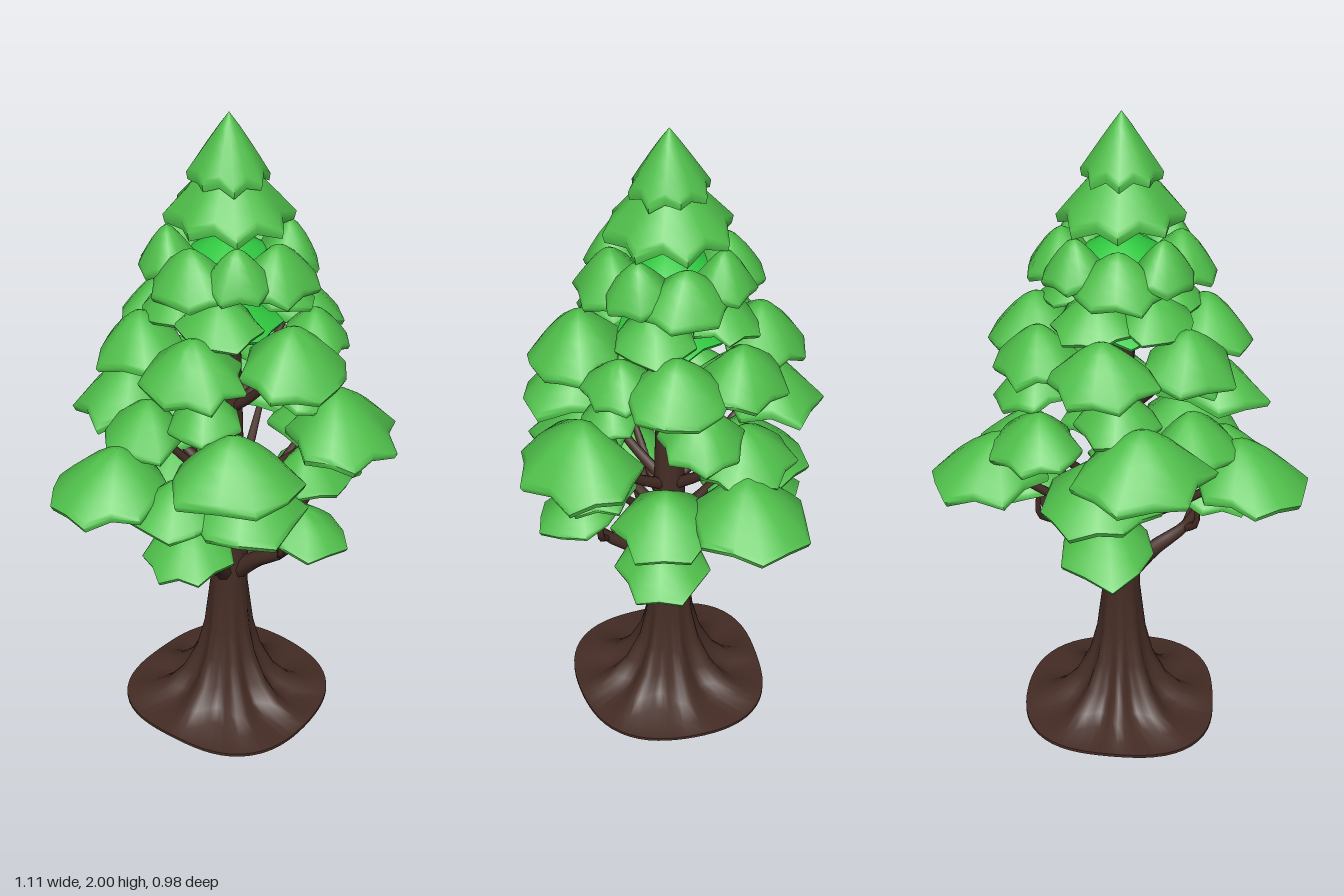
import * as THREE from 'three';
import { toCreasedNormals } from 'three/addons/utils/BufferGeometryUtils.js';

const mat = (name, color) => {
  const m = new THREE.MeshStandardMaterial({ color });
  m.name = name;
  return m;
};

function seeded(seed) {
  let s = (seed * 7919 + 17) % 2147483647;
  return () => (s = (s * 48271) % 2147483647) / 2147483647;
}

// Umbrella-shaped leaf clump: a dome peaking towards the trunk, a thin angular rim and a hollow underside
function clumpGeometry({ rx, rz, h, corners, depth = 0.09, jitter = 0.08, power = 1.4, shift = 0.25, seed }) {
  const rand = seeded(seed), n = corners * 2;
  const outline = [], droop = [];
  for (let j = 0; j < n; j++) {
    outline.push((j % 2 ? 1 - depth : 1 + depth * 0.5) + (rand() - 0.5) * 2 * jitter);
    droop.push((j % 2 ? 0.04 : -0.06) + (rand() - 0.5) * 0.1);
  }
  const rows = [
    ...[0, 0.25, 0.5, 0.75, 0.93, 1].map(t => [t, 0.12 + 0.88 * (1 - t ** power)]),
    [0.97, 0], [0.6, 0.3], [0, 0.45],
  ];
  const pos = [], top = [], under = [];
  rows.forEach(([t, y], r) => {
    for (let j = 0; j < n; j++) {
      const a = (j / n) * Math.PI * 2;
      const k = t * (1 + (outline[j] - 1) * t);
      pos.push(Math.cos(a) * k * rx, h * (y + droop[j] * t * t), (Math.sin(a) * k - shift * (1 - t)) * rz);
      const b = (j + 1) % n, p = r * n, list = r < 6 ? top : under;
      if (r > 0 && r < rows.length - 1) list.push(p + j, p + b, p + n + j);
      if (r < rows.length - 2) list.push(p + b, p + n + b, p + n + j);
    }
  });
  const g = new THREE.BufferGeometry();
  g.setAttribute('position', new THREE.Float32BufferAttribute(pos, 3));
  g.setIndex([...top, ...under]);
  g.addGroup(0, top.length, 0);
  g.addGroup(top.length, under.length, 1);
  return toCreasedNormals(g, 1.1);
}

// Tube that thins from r0 to r1
function taperedTube(points, r0, r1, segs = 10, sides = 8) {
  const curve = new THREE.CatmullRomCurve3(points.map(p => new THREE.Vector3(...p)));
  const g = new THREE.TubeGeometry(curve, segs, 1, sides);
  const p = g.attributes.position, v = new THREE.Vector3();
  for (let i = 0; i < p.count; i++) {
    const t = Math.floor(i / (sides + 1)) / segs, c = curve.getPointAt(t);
    v.fromBufferAttribute(p, i).sub(c).multiplyScalar(r0 + (r1 - r0) * t).add(c);
    p.setXYZ(i, v.x, v.y, v.z);
  }
  return g;
}

// Trunk with root ridges spreading into a wavy ground skirt
function trunkGeometry() {
  const profile = [[0, 0], [0.3, 0], [0.3, 0.01], [0.23, 0.018], [0.175, 0.045], [0.13, 0.1],
    [0.093, 0.19], [0.073, 0.29], [0.058, 0.45], [0.06, 0.56], [0.05, 0.7],
    [0.036, 1.25], [0.022, 1.55], [0, 1.86]].map(p => new THREE.Vector2(...p));
  const g = new THREE.LatheGeometry(profile, 64);
  const p = g.attributes.position;
  for (let i = 0; i < p.count; i++) {
    const x = p.getX(i), y = p.getY(i), z = p.getZ(i), a = Math.atan2(x, z);
    const ridge = Math.cos(8 * a + 0.6 * Math.sin(2 * a));
    const k = y < 0.015 ? 1.05 - 0.04 * Math.cos(4 * a) + 0.02 * Math.cos(3 * a + 1)
      : 1 + ridge * 0.16 * Math.max(0, 1 - y / 0.45);
    p.setXYZ(i, x * k, y, z * k);
  }
  return toCreasedNormals(g, 0.9);
}

export function createModel() {
  const tree = new THREE.Group();
  tree.name = 'tree';
  const bark = mat('dark bark', 0x452c25);
  const leaf = mat('leaf green', 0x50c04b);
  const inner = mat('inner leaf green', 0x30c840);
  const add = (name, geometry, material, parent = tree) => {
    const m = new THREE.Mesh(geometry, material);
    m.name = name;
    parent.add(m);
    return m;
  };

  add('trunk', trunkGeometry(), bark);

  const foliage = new THREE.Group(), branches = new THREE.Group();
  foliage.name = 'foliage';
  branches.name = 'branches';
  tree.add(foliage, branches);

  const addClump = (name, x, y, z, tilt, shape, topMaterial = leaf) => {
    const m = add(name, clumpGeometry(shape), [topMaterial, inner], foliage);
    m.position.set(x, y, z);
    m.rotation.set(tilt, Math.atan2(x, z), 0, 'YXZ');
  };

  // One tier of leaf clumps, each [x, z, size], carried by branches of the given thickness
  let seed = 3;
  const addTier = ({ y, h, rx, rz, tilt, limb = 0, low = false }, clumps) => {
    for (const [x, z, size] of clumps) {
      addClump('leafClump', x, y + 0.01, z, tilt,
        { rx: rx * size, rz: rz * size, h: h * size, corners: 5 + (seed % 3), seed });
      seed++;
      if (!limb) continue;
      const start = low ? 0.47 : y - 0.22;
      add('branch', taperedTube([[0, start, 0], [x * 0.35, start + (low ? 0.1 : 0.08), z * 0.35],
        [x * 0.72, low ? 0.65 : y - 0.03, z * 0.72], [x * 0.9, y + 0.03, z * 0.9]], limb, 0.008), bark, branches);
      // Hooked twigs on the lowest branches
      if (low) for (const s of [-1, 1]) {
        const mx = x * 0.78, mz = z * 0.78, ox = -z * 0.13 * s, oz = x * 0.13 * s;
        add('twig', taperedTube([[mx * 0.88, 0.635, mz * 0.88], [mx + ox, 0.67, mz + oz],
          [mx + ox * 1.1, y + 0.03, mz + oz * 1.1]], 0.014, 0.006, 6, 6), bark, branches);
      }
    }
  };

  // Lowest clumps
  addTier({ y: 0.735, h: 0.1, rx: 0.125, rz: 0.14, tilt: 0.18, limb: 0.036, low: true },
    [[0, 0.29, 0.95], [0.31, 0.11, 1.05], [-0.28, 0.07, 1.05], [0.03, -0.25, 1.15]]);
  // Two broad side clumps
  addTier({ y: 0.91, h: 0.14, rx: 0.175, rz: 0.18, tilt: 0.1, limb: 0.024 },
    [[0.38, -0.14, 1], [-0.38, -0.14, 1]]);
  // Lower clumps
  addTier({ y: 0.885, h: 0.125, rx: 0.155, rz: 0.145, tilt: 0.12, limb: 0.02 },
    [[-0.2, 0.22, 1.1], [0.08, 0.25, 0.8], [0.05, -0.24, 1.1], [-0.32, 0.06, 0.85], [0.31, 0.1, 0.95]]);
  // Middle clumps
  addTier({ y: 1.02, h: 0.15, rx: 0.19, rz: 0.155, tilt: 0.12, limb: 0.02 },
    [[0.14, 0.31, 1.03], [-0.26, 0.22, 1], [-0.08, -0.32, 1.03], [0.24, -0.17, 0.8], [-0.22, -0.14, 0.8]]);
  // Small inner clumps
  addTier({ y: 1.13, h: 0.1, rx: 0.105, rz: 0.105, tilt: 0.2 },
    [[0.09, 0.2, 0.85], [0.25, -0.02, 1.2], [-0.19, 0.06, 1], [0.0, -0.21, 1.1]]);
  // Upper clumps
  addTier({ y: 1.295, h: 0.13, rx: 0.15, rz: 0.13, tilt: 0.2, limb: 0.017 },
    [[-0.04, 0.26, 1.1], [0.26, 0.05, 1], [0.23, -0.15, 0.92], [-0.25, 0.07, 1], [-0.2, -0.17, 0.95],
      [0.04, -0.27, 1], [0.17, 0.19, 0.75]]);
  addTier({ y: 1.41, h: 0.09, rx: 0.12, rz: 0.11, tilt: 0.2 },
    [[0.13, 0.08, 1], [-0.13, 0.07, 1], [0.07, -0.13, 1], [-0.1, -0.11, 0.95]]);

  // Inner foliage around the upper trunk
  for (const [y, r] of [[1.36, 0.15], [1.57, 0.13]]) {
    addClump('innerFoliage', 0, y, 0, 0, { rx: r, rz: r, h: 0.08, corners: 7, shift: 0, seed: 50 }, inner);
  }

  // Crown ring
  for (let i = 0; i < 8; i++) {
    const a = (i / 8) * Math.PI * 2, sx = Math.sin(a), sz = Math.cos(a), side = i % 2;
    addClump('crownClump', sx * 0.17, side ? 1.56 : 1.54, sz * 0.17, 0.2,
      { rx: side ? 0.1 : 0.13, rz: side ? 0.085 : 0.1, h: 0.12, corners: 6, seed: i + 60 });
    add('crownTwig', taperedTube([[0, 1.4, 0], [sx * 0.05, 1.48, sz * 0.05],
      [sx * 0.13, 1.58, sz * 0.13]], 0.012, 0.006, 5, 6), bark, branches);
  }

  // Stacked skirt and pointed tip
  addClump('crownSkirt', 0, 1.69, 0, 0,
    { rx: 0.175, rz: 0.175, h: 0.21, corners: 8, depth: 0.12, jitter: 0.03, power: 1.1, shift: 0, seed: 80 });
  addClump('treeTip', 0, 1.815, 0, 0,
    { rx: 0.11, rz: 0.11, h: 0.185, corners: 8, depth: 0.1, jitter: 0.02, power: 1.05, shift: 0, seed: 90 });
  return tree;
}
